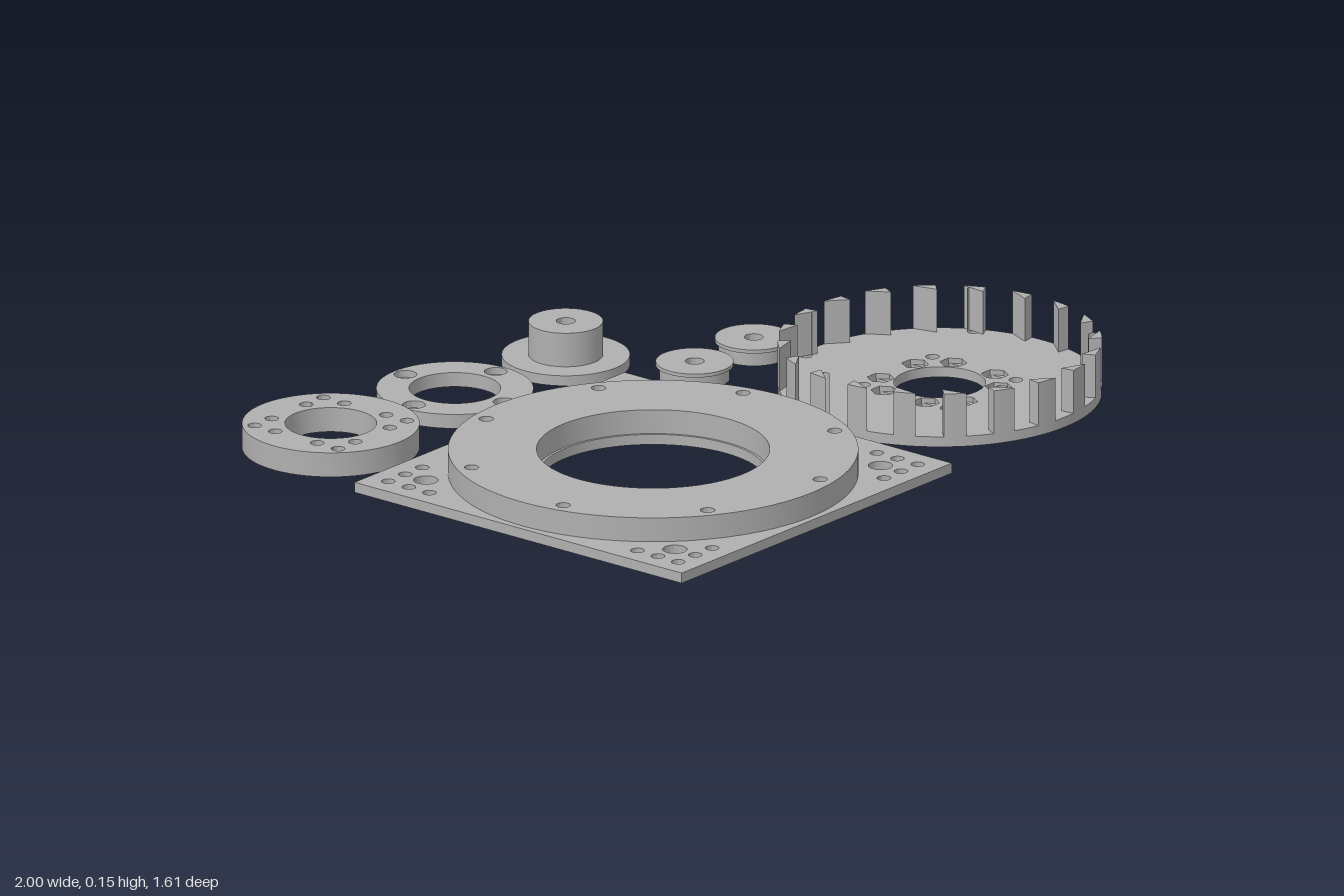
import * as THREE from 'three';
import { toCreasedNormals } from 'three/addons/utils/BufferGeometryUtils.js';

export function createModel() {
  const grey = new THREE.MeshStandardMaterial({ color: 0xb0b0b0 });
  grey.name = 'grey plastic';
  const model = new THREE.Group();
  model.name = 'printedParts';

  // --- helpers: outlines are drawn in (x, z) and extruded upwards ---
  const circle = (x, z, r) => new THREE.Shape().absarc(x, z, r, 0, Math.PI * 2, false);
  const rect = (x, z, w, d) => new THREE.Shape([
    [-1, -1], [1, -1], [1, 1], [-1, 1],
  ].map(([a, b]) => new THREE.Vector2(x + a * w / 2, z + b * d / 2)));
  const hexagon = (x, z, r) => new THREE.Shape(Array.from({ length: 6 }, (_, i) =>
    new THREE.Vector2(x + r * Math.cos(i * Math.PI / 3), z + r * Math.sin(i * Math.PI / 3))));
  const part = (name, x, z) => {
    const g = new THREE.Group();
    g.name = name;
    g.position.set(x, 0, z);
    model.add(g);
    return g;
  };
  const add = (group, name, geometry) => {
    const m = new THREE.Mesh(geometry, grey);
    m.name = name;
    group.add(m);
    return m;
  };
  const slab = (group, name, shape, holes, y0, y1, curveSegments = 24) => {
    shape.holes.push(...holes);
    const g = new THREE.ExtrudeGeometry(shape, { depth: y1 - y0, bevelEnabled: false, curveSegments });
    g.rotateX(Math.PI / 2).translate(0, y1, 0);
    return add(group, name, toCreasedNormals(g, 0.6));
  };
  const polarHoles = (n, radius, start, r) => Array.from({ length: n }, (_, i) => {
    const a = start + i * Math.PI * 2 / n;
    return circle(radius * Math.cos(a), radius * Math.sin(a), r);
  });
  const corners = [[-1, -1], [1, -1], [1, 1], [-1, 1]];

  // --- square base with raised bearing ring ---
  const base = part('bearingBase', -0.445, 0.249);
  const screwHoles = () => polarHoles(8, 0.496, -Math.PI / 16, 0.019);
  const cornerHoles = corners.flatMap(([a, b]) => [
    circle(a * 0.4225, b * 0.4225, 0.032),
    ...[[0.492, 0.492], [0.4225, 0.492], [0.353, 0.492], [0.492, 0.4225], [0.492, 0.353]]
      .map(([x, z]) => circle(a * x, b * z, 0.018)),
  ]);
  slab(base, 'basePlate', rect(0, 0, 1.11, 1.11),
    [circle(0, 0, 0.298), ...screwHoles(), ...cornerHoles], 0, 0.028, 40);
  slab(base, 'raisedRing', circle(0, 0, 0.537), [circle(0, 0, 0.305), ...screwHoles()], 0.028, 0.094, 48);

  // --- toothed wheel ---
  const wheel = part('toothedWheel', 0.575, 0.379);
  const outer = 0.1415, inner = 0.071;
  const cornerBolts = () => corners.map(([a, b]) => circle(a * outer, b * outer, 0.018));
  const nutSpots = corners.flatMap(([a, b]) => [[a * inner, b * outer], [a * outer, b * inner]]);
  const rimHoles = () => polarHoles(5, 0.406, Math.PI / 4, 0.016);
  slab(wheel, 'wheelFloorLower', circle(0, 0, 0.425), [circle(0, 0, 0.12), ...cornerBolts(),
    ...rimHoles(), ...nutSpots.map(([x, z]) => rect(x, z, 0.04, 0.062))], 0, 0.014, 48);
  slab(wheel, 'wheelFloorUpper', circle(0, 0, 0.425), [circle(0, 0, 0.12), ...cornerBolts(),
    ...rimHoles(), ...nutSpots.map(([x, z]) => hexagon(x, z, 0.036))], 0.014, 0.028, 48);
  for (let k = 0; k < 20; k++) {
    const half = 0.07;
    const shape = new THREE.Shape();
    shape.moveTo(0.388, -0.0297);
    shape.absarc(0, 0, 0.425, -half, half, false);
    shape.lineTo(0.388, 0.0297);
    const holes = k % 4 === 2 ? [circle(0.406, 0, 0.016)] : [];
    const tooth = slab(wheel, 'tooth', shape, holes, 0.028, 0.147, 8);
    tooth.rotation.y = -(9 + 18 * k) * Math.PI / 180;
  }

  // --- thick flange ring with twelve bolt holes ---
  const flange = part('boltFlange', -0.768, -0.578);
  const boltHoles = [...cornerBolts(), ...nutSpots.map(([x, z]) => circle(x, z, 0.018))];
  slab(flange, 'flangeRing', circle(0, 0, 0.2325), [circle(0, 0, 0.12), ...boltHoles], 0, 0.067, 32);

  // --- thin ring with four counterbored holes ---
  const clamp = part('clampRing', -0.291, -0.551);
  slab(clamp, 'clampRingLower', circle(0, 0, 0.206),
    [circle(0, 0, 0.12), ...polarHoles(4, 0.168, 0, 0.019)], 0, 0.02, 32);
  slab(clamp, 'clampRingUpper', circle(0, 0, 0.206),
    [circle(0, 0, 0.12), ...polarHoles(4, 0.168, 0, 0.03)], 0.02, 0.039, 32);

  // --- shaft hub with a set-screw hole on its left side ---
  const hub = part('shaftHub', 0.12, -0.514);
  const R = 0.098, bore = 0.025, y0 = 0.028, y1 = 0.121, screwY = 0.066, arc = 0.3;
  slab(hub, 'hubDisc', circle(0, 0, 0.168),
    [circle(0, 0, bore), rect(0.052, 0, 0.02, 0.06)], 0, y0, 32);
  const core = new THREE.LatheGeometry(
    [[R, y1], [bore, y1], [bore, y0], [R, y0]].map(([r, y]) => new THREE.Vector2(r, y)), 48);
  add(hub, 'hubCore', toCreasedNormals(core, 0.6));
  const wall = new THREE.CylinderGeometry(R, R, y1 - y0, 48, 1, true,
    Math.PI / 2 + arc, Math.PI * 2 - 2 * arc);
  add(hub, 'hubWall', wall.translate(0, (y0 + y1) / 2, 0));

  // wall patch around the screw hole, wrapped onto the cylinder
  const outline = [];
  for (let i = 0; i <= 12; i++) outline.push(new THREE.Vector2(R * arc * (i / 6 - 1), y0));
  for (let i = 12; i >= 0; i--) outline.push(new THREE.Vector2(R * arc * (i / 6 - 1), y1));
  const patchShape = new THREE.Shape(outline);
  patchShape.holes.push(circle(0, screwY, 0.019));
  const patch = new THREE.ShapeGeometry(patchShape, 16);
  const p = patch.attributes.position, n = patch.attributes.normal;
  for (let i = 0; i < p.count; i++) {
    const a = p.getX(i) / R;
    p.setXYZ(i, R * Math.cos(a), p.getY(i), -R * Math.sin(a));
    n.setXYZ(i, Math.cos(a), 0, -Math.sin(a));
  }
  add(hub, 'hubScrewPatch', patch);
  const screwBore = new THREE.LatheGeometry(
    [new THREE.Vector2(0.019, R - 0.002), new THREE.Vector2(0.019, bore)], 24);
  screwBore.rotateZ(-Math.PI / 2).translate(0, screwY, 0);
  add(hub, 'screwBore', screwBore);
  const boreEnd = new THREE.CircleGeometry(0.019, 24);
  add(hub, 'screwBoreEnd', boreEnd.rotateY(Math.PI / 2).translate(bore, screwY, 0));

  // --- two small lipped spacers ---
  for (const x of [0.251, 0.494]) {
    const spacer = part('spacer', x, -0.185);
    slab(spacer, 'spacerBody', circle(0, 0, 0.092), [circle(0, 0, bore)], 0, 0.038);
    slab(spacer, 'spacerLip', circle(0, 0, 0.102), [circle(0, 0, bore)], 0.038, 0.048);
  }

  return model;
}
